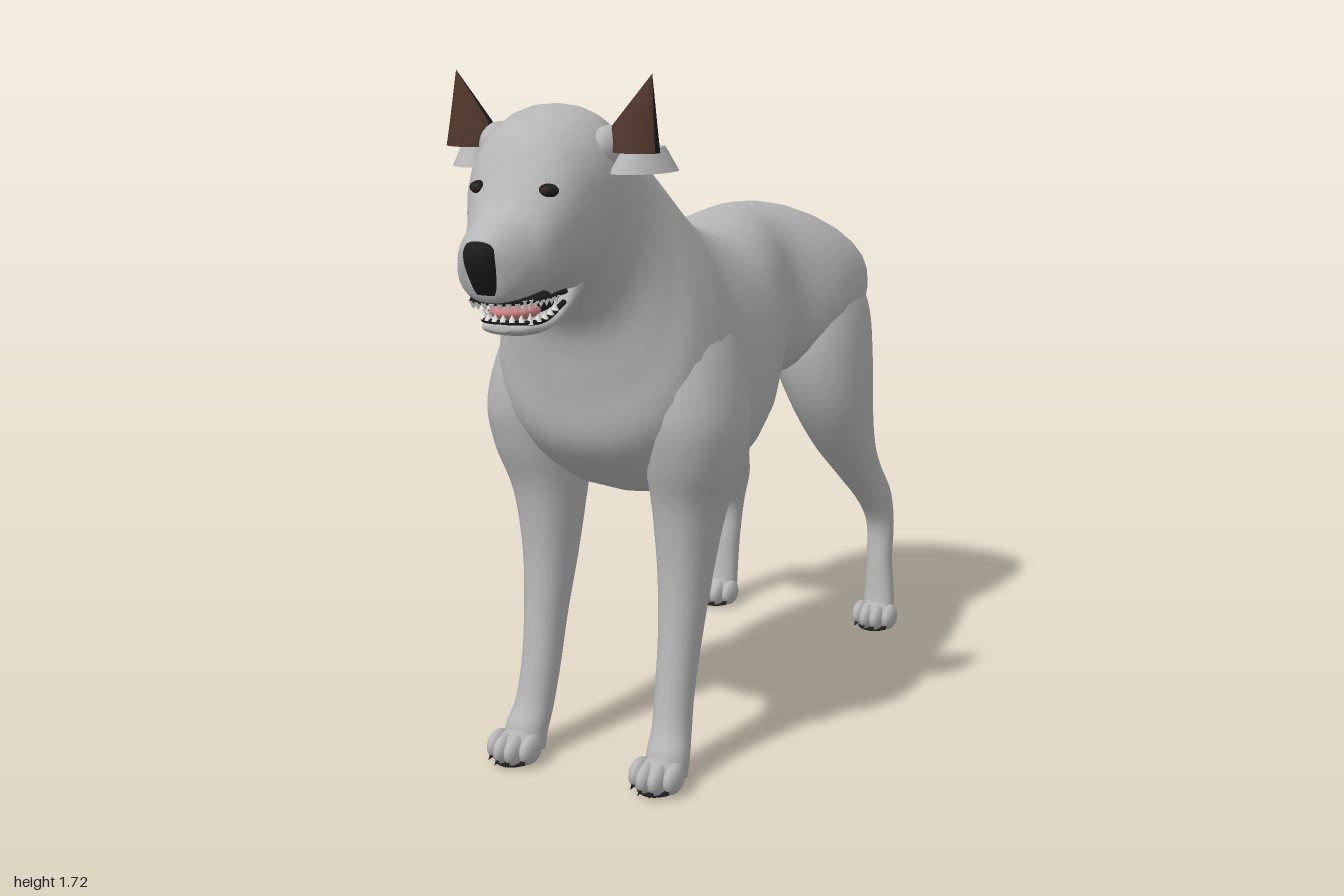
import * as THREE from 'three';

const mat = (name, color) => Object.assign(new THREE.MeshStandardMaterial({ color }), { name });

// Smooth skin through cross-sections [topZ, topY, bottomZ, bottomY, halfWidth, centreX, topTaper].
// Legs and nose use the same form, with "top" meaning the front edge.
function loft(sections, side = 1, steps = 5, sides = 28, power = 0.9) {
  const pos = [], idx = [], n = sections.length;
  const at = (i) => sections[Math.max(0, Math.min(n - 1, i))];
  const rings = [];
  for (let i = 0; i < n - 1; i++) {
    for (let s = 0; s < steps; s++) {
      const t = s / steps;
      rings.push(at(i).map((p1, k) => {
        const p0 = at(i - 1)[k], p2 = at(i + 1)[k], p3 = at(i + 2)[k];
        return 0.5 * (2 * p1 + (p2 - p0) * t + (2 * p0 - 5 * p1 + 4 * p2 - p3) * t * t
          + (3 * p1 - p0 - 3 * p2 + p3) * t * t * t);
      }));
    }
  }
  rings.push(sections[n - 1]);
  const round = (v) => Math.sign(v) * Math.abs(v) ** power;
  for (const [tz, ty, bz, by, w, x, taper = 0] of rings) {
    for (let j = 0; j < sides; j++) {
      const a = (j / sides) * Math.PI * 2, c = round(Math.cos(a)) / 2;
      const wide = w * (1 - 2 * taper * c);
      pos.push(x * side + wide * round(Math.sin(a)), (ty + by) / 2 + (ty - by) * c, (tz + bz) / 2 + (tz - bz) * c);
    }
  }
  for (let i = 0; i < rings.length - 1; i++) {
    for (let j = 0; j < sides; j++) {
      const a = i * sides + j, b = i * sides + (j + 1) % sides;
      idx.push(a, a + sides, b, b, a + sides, b + sides);
    }
  }
  // end caps
  for (const [r, flip] of [[0, false], [rings.length - 1, true]]) {
    const [tz, ty, bz, by, , x] = rings[r], c = pos.length / 3;
    pos.push(x * side, (ty + by) / 2, (tz + bz) / 2);
    for (let j = 0; j < sides; j++) {
      const a = r * sides + j, b = r * sides + (j + 1) % sides;
      idx.push(c, flip ? b : a, flip ? a : b);
    }
  }
  const g = new THREE.BufferGeometry();
  g.setAttribute('position', new THREE.Float32BufferAttribute(pos, 3));
  g.setIndex(idx);
  g.computeVertexNormals();
  return g;
}

const TORSO = [
  [-0.835, 1.13, -0.848, 1.0, 0.11, 0, 0], [-0.805, 1.21, -0.825, 0.92, 0.22, 0, -0.08],
  [-0.72, 1.27, -0.74, 0.87, 0.262, 0, -0.02], [-0.58, 1.315, -0.58, 0.84, 0.25, 0, 0.05],
  [-0.42, 1.33, -0.42, 0.82, 0.178, 0, 0.05], [-0.27, 1.322, -0.27, 0.77, 0.21, 0, 0.05],
  [-0.1, 1.3, -0.1, 0.69, 0.262, 0, 0.08], [0.05, 1.335, 0.05, 0.645, 0.282, 0, 0.12],
  [0.15, 1.385, 0.2, 0.66, 0.28, 0, 0.16], [0.22, 1.435, 0.36, 0.72, 0.283, 0, 0.2],
  [0.28, 1.49, 0.48, 0.83, 0.257, 0, 0.2], [0.35, 1.545, 0.51, 0.97, 0.218, 0, 0.16],
  [0.42, 1.59, 0.535, 1.1, 0.19, 0, 0.1],
];
const HEAD = [
  [0.5, 1.63, 0.58, 1.17, 0.175, 0, 0],
  [0.58, 1.65, 0.64, 1.22, 0.172, 0, -0.1], [0.68, 1.635, 0.7, 1.22, 0.163, 0.01, -0.08],
  [0.77, 1.595, 0.76, 1.25, 0.143, 0.02, 0], [0.83, 1.515, 0.82, 1.25, 0.115, 0.03, 0],
  [0.88, 1.45, 0.88, 1.25, 0.097, 0.033, 0.12], [0.94, 1.42, 0.93, 1.25, 0.078, 0.035, 0.12],
  [0.975, 1.395, 0.95, 1.265, 0.055, 0.037, 0], [0.985, 1.37, 0.96, 1.3, 0.03, 0.037, 0],
];
const JAW = [
  [0.64, 1.3, 0.65, 1.215, 0.09, 0.01], [0.71, 1.275, 0.72, 1.19, 0.1, 0.015],
  [0.765, 1.222, 0.78, 1.173, 0.085, 0.022], [0.82, 1.21, 0.83, 1.168, 0.074, 0.03],
  [0.875, 1.205, 0.88, 1.175, 0.055, 0.033], [0.895, 1.2, 0.897, 1.185, 0.025, 0.033],
];
const NOSE = [
  [0.972, 1.393, 0.92, 1.393, 0.03, 0.037], [0.998, 1.372, 0.92, 1.372, 0.039, 0.037],
  [0.998, 1.34, 0.92, 1.34, 0.039, 0.037], [0.976, 1.3, 0.92, 1.3, 0.035, 0.037],
  [0.956, 1.272, 0.92, 1.272, 0.032, 0.037],
];
const FORELEG = [
  [0.35, 1.24, 0.2, 1.22, 0.04, 0.15], [0.43, 1.08, 0.14, 1.08, 0.097, 0.188],
  [0.46, 0.92, 0.13, 0.9, 0.12, 0.212], [0.44, 0.8, 0.15, 0.76, 0.11, 0.21],
  [0.4, 0.68, 0.19, 0.64, 0.085, 0.195], [0.385, 0.52, 0.225, 0.5, 0.065, 0.19],
  [0.395, 0.36, 0.275, 0.34, 0.052, 0.19], [0.415, 0.24, 0.315, 0.2, 0.047, 0.19],
  [0.44, 0.14, 0.345, 0.11, 0.048, 0.195], [0.47, 0.09, 0.375, 0.05, 0.053, 0.2],
  [0.48, 0.04, 0.39, 0.01, 0.053, 0.2],
];
const HINDLEG = [
  [-0.57, 1.2, -0.78, 1.18, 0.07, 0.14], [-0.52, 1.02, -0.853, 1.02, 0.125, 0.143],
  [-0.505, 0.88, -0.862, 0.88, 0.133, 0.152], [-0.545, 0.74, -0.847, 0.72, 0.11, 0.178],
  [-0.64, 0.6, -0.865, 0.6, 0.083, 0.198], [-0.735, 0.5, -0.92, 0.51, 0.06, 0.215],
  [-0.835, 0.4, -0.992, 0.41, 0.045, 0.235], [-0.893, 0.31, -0.98, 0.32, 0.04, 0.25],
  [-0.885, 0.2, -0.962, 0.2, 0.038, 0.255], [-0.87, 0.1, -0.95, 0.09, 0.045, 0.262],
  [-0.85, 0.04, -0.945, 0.01, 0.05, 0.265],
];

export function createModel() {
  const coat = mat('coat grey', 0xb6b6b6), black = mat('black', 0x1c1c1c), stump = mat('tail grey', 0x8e8e8e);
  const brown = mat('ear brown', 0x4c342a), pink = mat('tongue pink', 0xcc8084);
  const white = mat('tooth white', 0xf2f0ea), iris = mat('eye brown', 0x33261e);
  const dog = new THREE.Group();
  dog.name = 'dog';

  const add = (name, geometry, material, parent = dog) => {
    const m = new THREE.Mesh(geometry, material);
    m.name = name;
    parent.add(m);
    return m;
  };
  const blob = (name, material, p, r, parent = dog) => {
    const m = add(name, new THREE.SphereGeometry(1, 20, 14), material, parent);
    m.position.set(...p);
    m.scale.set(...r);
    return m;
  };

  add('bodyAndHead', loft([...TORSO, ...HEAD]), coat);
  add('lowerJaw', loft(JAW), coat);
  add('nose', loft(NOSE), black);
  blob('sheath', coat, [0, 0.797, -0.39], [0.035, 0.042, 0.09]).rotation.x = 0.5;
  blob('tailStump', stump, [0.01, 1.095, -0.84], [0.06, 0.085, 0.018]).rotation.x = 0.1;

  // Mouth
  blob('mouthLining', black, [0.024, 1.235, 0.775], [0.068, 0.03, 0.06]);
  blob('tongue', pink, [0.033, 1.222, 0.828], [0.054, 0.022, 0.064]);
  const arch = (y, w, front, dy) => new THREE.CatmullRomCurve3(
    [[-w, 0.75, dy], [-w * 0.9, 0.83, 0], [-w * 0.55, front - 0.012, 0], [0, front, 0],
      [w * 0.55, front - 0.012, 0], [w * 0.9, 0.83, 0], [w, 0.75, dy]]
      .map(([x, z, d]) => new THREE.Vector3(x + 0.03, y + d, z)));
  const lower = arch(1.204, 0.08, 0.89, 0.03), upper = arch(1.253, 0.084, 0.932, 0.005);
  add('lowerLip', new THREE.TubeGeometry(lower, 40, 0.006, 8), black);
  add('upperLip', new THREE.TubeGeometry(upper, 40, 0.006, 8), black);
  for (const [name, curve, flip, count] of [['lowerTooth', lower, 0, 19], ['upperTooth', upper, Math.PI, 25]]) {
    for (let i = 2; i < count - 1; i++) {
      const t = i / count, canine = Math.abs(Math.abs(t - 0.5) - 0.2) < 0.025;
      const tooth = add(name, new THREE.ConeGeometry(0.009, canine ? 0.026 : 0.017, 6), white);
      tooth.position.copy(curve.getPointAt(t));
      tooth.position.y += flip ? -0.01 : 0.01;
      tooth.rotation.x = flip;
    }
  }

  for (const side of [1, -1]) {
    const label = side > 0 ? 'left' : 'right';

    // Eyes
    const ex = 0.03 + side * 0.085;
    blob(label + 'EyeRim', black, [ex, 1.482, 0.82], [0.023, 0.015, 0.02]);
    blob(label + 'Eye', iris, [ex, 1.482, 0.828], [0.013, 0.011, 0.017]);

    // Upright ear: a wedge leaning outward, brown in front and dark behind
    const ear = new THREE.Group();
    ear.name = label + 'Ear';
    dog.add(ear);
    for (const [name, m, span, middle] of [['earFront', brown, 0.8, 0], ['earBack', black, 1.2, Math.PI]]) {
      const g = new THREE.CylinderGeometry(1, 1, 1, 8, 3, true, middle - span * Math.PI / 2, span * Math.PI);
      const p = g.attributes.position;
      for (let i = 0; i < p.count; i++) {
        const t = p.getY(i) + 0.5, u = Math.max(0, (t - 1 / 3) * 1.5);
        const inner = 0.155 + 0.095 * u, outer = 0.27 - 0.02 * t;
        const mid = (inner + outer) / 2, half = (outer - inner) / 2;
        p.setXYZ(i, side * mid + half * p.getX(i), 1.55 + 0.17 * t, 0.607 - 0.007 * t + 0.043 * (1 - t) * p.getZ(i));
      }
      g.computeVertexNormals();
      add(name, g, m, ear);
    }
    // Folded flesh under the ear, drooping backward
    const flap = new THREE.CylinderGeometry(0.6, 1, 1, 16, 1);
    flap.scale(0.06, 0.055, 0.095);
    const fold = add('earFlap', flap, coat, ear);
    fold.position.set(side * 0.212, 1.532, 0.565);
    fold.rotation.y = side * -0.3;
    blob('earRoot', coat, [side * 0.14, 1.555, 0.595], [0.037, 0.052, 0.068], ear);

    // Legs and paws
    for (const [kind, sections, px, front] of [['Foreleg', FORELEG, 0.2, 0.56], ['Hindleg', HINDLEG, 0.265, -0.79]]) {
      const leg = new THREE.Group();
      leg.name = label + kind;
      dog.add(leg);
      add('limb', loft(sections, side), coat, leg);
      const x = px * side;
      blob('paw', coat, [x, 0.042, front - 0.09], [0.056, 0.038, 0.065], leg);
      blob('pawPad', black, [x, 0.007, front - 0.09], [0.052, 0.007, 0.068], leg);
      for (let i = -1.5; i <= 1.5; i++) {
        const z = front - (Math.abs(i) > 1 ? 0.075 : 0.053);
        blob('toe', coat, [x + i * 0.031, 0.041, z], [0.021, 0.037, 0.045], leg);
        const nail = add('nail', new THREE.ConeGeometry(0.009, 0.03, 8), black, leg);
        nail.position.set(x + i * 0.031, 0.02, z + 0.037);
        nail.rotation.x = 2;
      }
    }
    blob(label + 'WristPad', coat, [side * 0.19, 0.19, 0.333], [0.02, 0.03, 0.018]);
  }
  return dog;
}
